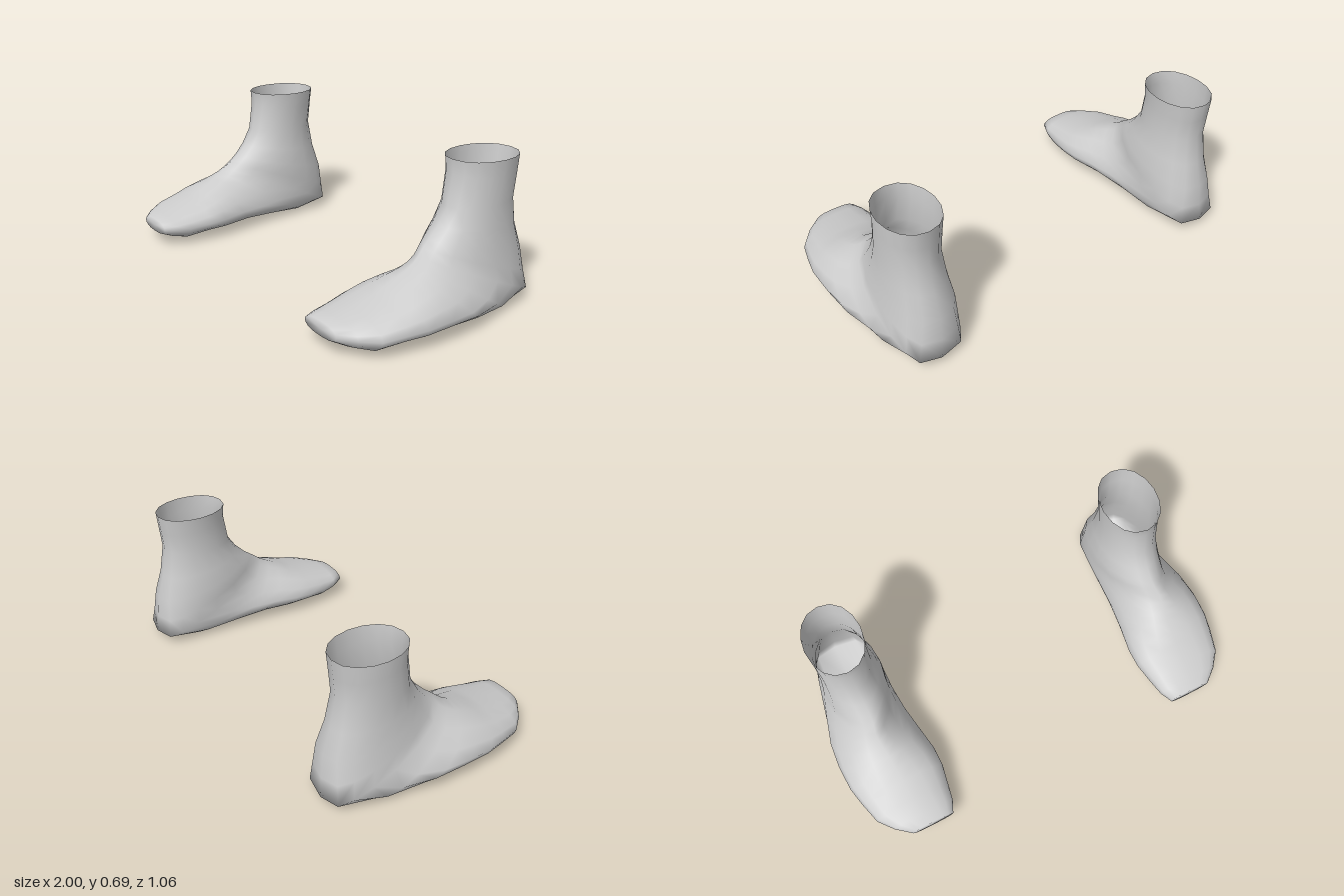
import * as THREE from 'three';

const SIDES = 16;

// Cross-sections fanning from the ankle opening round the heel to the toes:
// front z, front y, back z, back y, inner x, outer x, ridge x, widest point (0 back, 1 front),
// front roundness, back roundness (lower is squarer)
const SECTIONS = [
  [-0.12, 0.695, -0.47, 0.69, 0.62, 0.89, 0.755, 0.5, 0.9, 0.9],
  [-0.125, 0.63, -0.46, 0.6, 0.627, 0.887, 0.755, 0.5, 0.9, 0.9],
  [-0.1, 0.49, -0.45, 0.5, 0.63, 0.885, 0.755, 0.5, 1, 0.9],
  [-0.05, 0.415, -0.475, 0.36, 0.615, 0.89, 0.755, 0.5, 1.1, 0.85],
  [0, 0.365, -0.51, 0.24, 0.6, 0.9, 0.755, 0.5, 1.2, 0.7],
  [0.035, 0.337, -0.52, 0.13, 0.6, 0.91, 0.76, 0.48, 1.25, 0.55],
  [0.07, 0.31, -0.53, 0.04, 0.6, 0.92, 0.77, 0.45, 1.25, 0.45],
  [0.1, 0.285, -0.35, 0.005, 0.6, 0.955, 0.77, 0.4, 1.2, 0.55],
  [0.14, 0.262, -0.15, 0.02, 0.59, 0.99, 0.765, 0.36, 1.15, 0.6],
  [0.18, 0.243, 0.02, 0.035, 0.57, 1, 0.76, 0.36, 1.1, 0.6],
  [0.24, 0.215, 0.18, 0.03, 0.548, 0.995, 0.755, 0.4, 1, 0.65],
  [0.3, 0.19, 0.29, 0.033, 0.548, 0.975, 0.75, 0.42, 0.9, 0.65],
  [0.4, 0.165, 0.4, 0.015, 0.567, 0.945, 0.745, 0.5, 0.8, 0.75],
  [0.475, 0.145, 0.47, 0.037, 0.58, 0.885, 0.735, 0.52, 0.75, 0.75],
  [0.53, 0.132, 0.53, 0.065, 0.605, 0.815, 0.715, 0.5, 0.7, 0.7],
];

// Skin of one foot; side is 1 for the left and -1 for the right
function footGeometry(side) {
  const positions = [];
  const index = [];
  const tri = (a, b, c) => (side > 0 ? index.push(a, b, c) : index.push(a, c, b));

  for (const [fz, fy, bz, by, inner, outer, ridge, widest, qFront, qBack] of SECTIONS) {
    for (let j = 0; j < SIDES; j++) {
      const angle = (j / SIDES) * Math.PI * 2;
      const c = Math.cos(angle);
      const s = Math.sin(angle);
      const t = widest + c * (c > 0 ? 1 - widest : widest);
      const spread = Math.pow(Math.abs(s), c > 0 ? qFront : qBack);
      const x = ridge + spread * (s > 0 ? outer - ridge : inner - ridge);
      positions.push(side * x, by + (fy - by) * t, bz + (fz - bz) * t);
    }
  }

  // Walls between neighbouring sections
  for (let i = 0; i < SECTIONS.length - 1; i++) {
    for (let j = 0; j < SIDES; j++) {
      const a = i * SIDES + j;
      const b = i * SIDES + ((j + 1) % SIDES);
      tri(a, a + SIDES, b + SIDES);
      tri(a, b + SIDES, b);
    }
  }

  // Blunt toe end
  const last = (SECTIONS.length - 1) * SIDES;
  const tip = positions.length / 3;
  positions.push(side * 0.715, 0.098, 0.532);
  for (let j = 0; j < SIDES; j++) tri(last + j, tip, last + ((j + 1) % SIDES));

  const geometry = new THREE.BufferGeometry();
  geometry.setAttribute('position', new THREE.Float32BufferAttribute(positions, 3));
  geometry.setIndex(index);
  geometry.computeVertexNormals();
  return geometry;
}

export function createModel() {
  const group = new THREE.Group();
  group.name = 'pairOfFeet';

  // Open at the ankle, so the inside shows too
  const grey = new THREE.MeshStandardMaterial({ color: 0xcccccc });
  grey.name = 'light grey';
  grey.side = THREE.DoubleSide;

  for (const side of [1, -1]) {
    const foot = new THREE.Mesh(footGeometry(side), grey);
    foot.name = side > 0 ? 'leftFoot' : 'rightFoot';
    group.add(foot);
  }
  return group;
}
